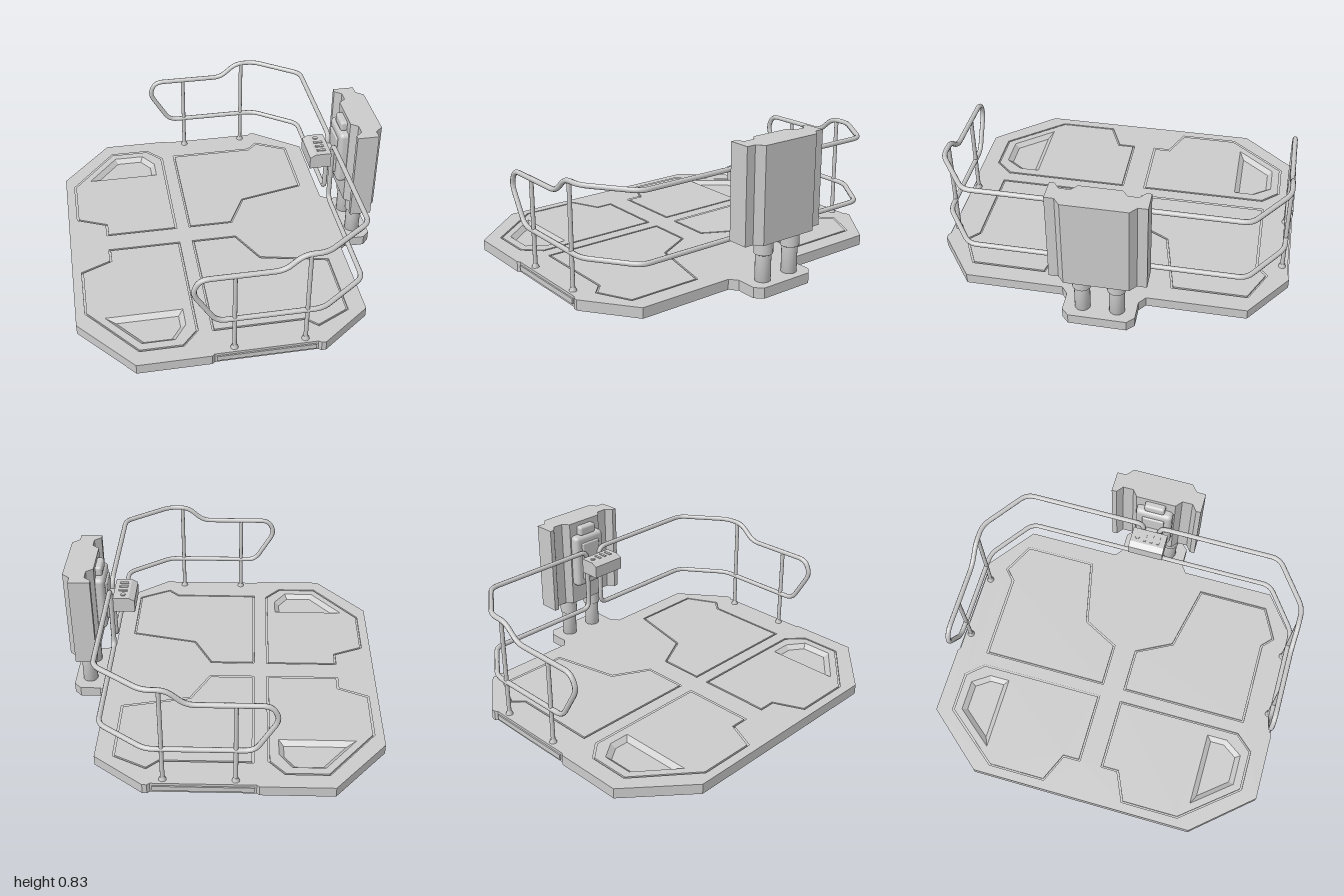
import * as THREE from 'three';
import { RoundedBoxGeometry } from 'three/addons/geometries/RoundedBoxGeometry.js';

const grey = new THREE.MeshStandardMaterial({ color: 0xcccccc });
const greyOpen = new THREE.MeshStandardMaterial({ color: 0xcccccc, side: THREE.DoubleSide });

function add(parent, name, geometry, x = 0, y = 0, z = 0, material = grey) {
  const mesh = new THREE.Mesh(geometry, material);
  mesh.name = name;
  mesh.position.set(x, y, z);
  parent.add(mesh);
  return mesh;
}

// Flat slab from a plan outline of [x, z] points, between heights y0 and y1
function slab(points, y0, y1, holes = []) {
  const toVectors = (list) => list.map(([x, z]) => new THREE.Vector2(x, -z));
  const shape = new THREE.Shape(toVectors(points));
  holes.forEach((h) => shape.holes.push(new THREE.Path(toVectors(h))));
  const geometry = new THREE.ExtrudeGeometry(shape, { depth: y1 - y0, bevelEnabled: false });
  return geometry.rotateX(-Math.PI / 2).translate(0, y0, 0);
}

// Move every edge of an outline inwards by d
function inset(points, d) {
  const v = points.map(([x, z]) => new THREE.Vector2(x, z));
  const side = Math.sign(THREE.ShapeUtils.area(v));
  return v.map((p, i) => {
    const a = p.clone().sub(v[(i + v.length - 1) % v.length]).normalize();
    const b = v[(i + 1) % v.length].clone().sub(p).normalize();
    const na = new THREE.Vector2(-a.y, a.x), nb = new THREE.Vector2(-b.y, b.x);
    const k = (side * d) / (1 + na.dot(nb));
    return [p.x + (na.x + nb.x) * k, p.y + (na.y + nb.y) * k];
  });
}

// Sloping band between two outlines with equal point counts
function band(outer, yOuter, inner, yInner) {
  const pos = [];
  outer.forEach((_, i) => {
    const j = (i + 1) % outer.length;
    const a = [outer[i][0], yOuter, outer[i][1]], b = [outer[j][0], yOuter, outer[j][1]];
    const c = [inner[j][0], yInner, inner[j][1]], d = [inner[i][0], yInner, inner[i][1]];
    pos.push(...a, ...b, ...c, ...a, ...c, ...d);
  });
  const geometry = new THREE.BufferGeometry();
  geometry.setAttribute('position', new THREE.Float32BufferAttribute(pos, 3));
  geometry.computeVertexNormals();
  return geometry;
}

// Closed tube through corner points, each corner rounded
function roundedLoop(corners, round, radius) {
  const p = corners.map((c) => new THREE.Vector3(...c));
  const path = new THREE.CurvePath();
  const toward = (a, b) => a.clone().lerp(b, Math.min(0.45, round / a.distanceTo(b)));
  p.forEach((c, i) => {
    const prev = p[(i + p.length - 1) % p.length], next = p[(i + 1) % p.length];
    const end = toward(c, next);
    path.add(new THREE.QuadraticBezierCurve3(toward(c, prev), c, end));
    path.add(new THREE.LineCurve3(end, toward(next, c)));
  });
  return new THREE.TubeGeometry(path, 260, radius, 8, true);
}

const mirrorZ = (points, s) => points.map(([x, z]) => [x, z * s]);

export function createModel() {
  const model = new THREE.Group();
  model.name = 'railedPlatform';

  // Deck outline, with a tab for the control column
  const half = [
    [0.89, 0.16], [0.85, 0.2], [0.735, 0.2], [0.69, 0.235], [0.69, 0.79], [0.41, 1], [0.385, 1],
    [0.37, 0.988], [-0.19, 0.988], [-0.205, 1], [-0.605, 1], [-0.897, 0.66],
  ];
  const outline = [...half, ...mirrorZ(half, -1).reverse()];
  const frontPanel = [
    [-0.58, 0.905], [-0.34, 0.905], [-0.25, 0.805], [-0.25, 0.065],
    [-0.675, 0.065], [-0.675, 0.165], [-0.845, 0.24], [-0.845, 0.58],
  ];
  const rearPanel = [
    [-0.175, 0.82], [0.335, 0.82], [0.4, 0.88], [0.59, 0.785],
    [0.59, 0.36], [0.2, 0.275], [0.09, 0.065], [-0.175, 0.065],
  ];
  const pocket = [[-0.74, 0.63], [-0.56, 0.85], [-0.38, 0.85], [-0.31, 0.75], [-0.31, 0.63]];
  const sides = [1, -1];
  const panelHoles = sides.flatMap((s) => [mirrorZ(frontPanel, s), mirrorZ(rearPanel, s)]);
  const pocketHoles = sides.map((s) => mirrorZ(pocket, s));

  // Deck in layers: core, then grooved panels with pockets above and below
  const deck = new THREE.Group();
  deck.name = 'deck';
  model.add(deck);
  add(deck, 'deckCore', slab(outline, 0.024, 0.036));
  for (const [label, y0, y1, y2] of [['top', 0.036, 0.05, 0.06], ['bottom', 0.024, 0.01, 0]]) {
    const layer = (points, a, b, holes) => slab(points, Math.min(a, b), Math.max(a, b), holes);
    add(deck, label + 'Layer', layer(outline, y0, y1, pocketHoles));
    add(deck, label + 'Skin', layer(outline, y1, y2, panelHoles));
    for (const s of sides) {
      const hole = mirrorZ(pocket, s);
      add(deck, label + 'FrontPanel', layer(inset(mirrorZ(frontPanel, s), 0.01), y1, y2, [hole]));
      add(deck, label + 'RearPanel', layer(inset(mirrorZ(rearPanel, s), 0.01), y1, y2));
      add(deck, label + 'Pocket', band(hole, y2, inset(hole, 0.028), y0), 0, 0, 0, greyOpen);
    }
  }

  for (const s of sides) {
    add(deck, 'edgeStrip', new THREE.BoxGeometry(0.54, 0.03, 0.012), 0.09, 0.03, s * 0.99);

    // Railing loop: along the side, round the corner and back to the column
    const rail = new THREE.Group();
    rail.name = s > 0 ? 'leftRailing' : 'rightRailing';
    model.add(rail);
    add(rail, 'railLoop', roundedLoop([
      [0.655, 0.655, 0.05], [0.655, 0.655, 0.765], [0.39, 0.655, 0.955], [0.27, 0.655, 0.955],
      [0.17, 0.565, 0.955], [-0.26, 0.565, 0.955], [-0.3, 0.48, 0.955], [-0.175, 0.27, 0.955],
      [0.39, 0.27, 0.955], [0.655, 0.27, 0.765], [0.655, 0.27, 0.05],
    ].map(([x, y, z]) => [x, y, z * s]), 0.05, 0.0145));
    for (const [x, top] of [[-0.08, 0.565], [0.305, 0.655]]) {
      add(rail, 'post', new THREE.CylinderGeometry(0.012, 0.012, top - 0.05, 12), x, (top + 0.05) / 2, s * 0.955);
      add(rail, 'postFoot', new THREE.CylinderGeometry(0.013, 0.022, 0.025, 12), x, 0.07, s * 0.955);
    }

    // Telescopic column leg
    const profile = [[0, 0.05], [0.043, 0.05], [0.043, 0.21], [0.043, 0.21], [0.052, 0.215], [0.052, 0.215], [0.052, 0.31]];
    add(model, 'columnLeg', new THREE.LatheGeometry(profile.map((q) => new THREE.Vector2(...q)), 24), 0.803, 0, s * 0.095);
  }

  // Column cabinet, with two grooves on its inner face
  const cabinetHalf = [
    [0.89, 0.175], [0.848, 0.21], [0.848, 0.263], [0.727, 0.263],
    [0.727, 0.235], [0.765, 0.205], [0.765, 0.145], [0.727, 0.115],
  ];
  add(model, 'cabinet', slab([...cabinetHalf, ...mirrorZ(cabinetHalf, -1).reverse()], 0.298, 0.83));
  add(model, 'cabinetFace', new RoundedBoxGeometry(0.075, 0.33, 0.215, 3, 0.025), 0.715, 0.585, 0);
  add(model, 'cabinetFaceInset', new RoundedBoxGeometry(0.02, 0.24, 0.13, 2, 0.008), 0.676, 0.585, 0);
  add(model, 'beacon', new RoundedBoxGeometry(0.06, 0.06, 0.12, 2, 0.015), 0.72, 0.775, 0);

  // Control console on a bracket
  const consoleShape = new THREE.Shape([
    [0.512, 0.54], [0.635, 0.54], [0.635, 0.63], [0.545, 0.63], [0.512, 0.612],
  ].map((q) => new THREE.Vector2(...q)));
  add(model, 'console', new THREE.ExtrudeGeometry(consoleShape, { depth: 0.205, bevelEnabled: false }), 0, 0, -0.1025);
  add(model, 'consoleBracket', new THREE.BoxGeometry(0.07, 0.045, 0.07), 0.66, 0.585, 0);
  add(model, 'consoleKnob', new THREE.CylinderGeometry(0.014, 0.014, 0.008, 16), 0.58, 0.632, -0.065);
  for (const z of [-0.02, 0.02, 0.06]) {
    add(model, 'consoleButton', new THREE.BoxGeometry(0.05, 0.006, 0.016), 0.585, 0.632, z);
  }
  return model;
}
